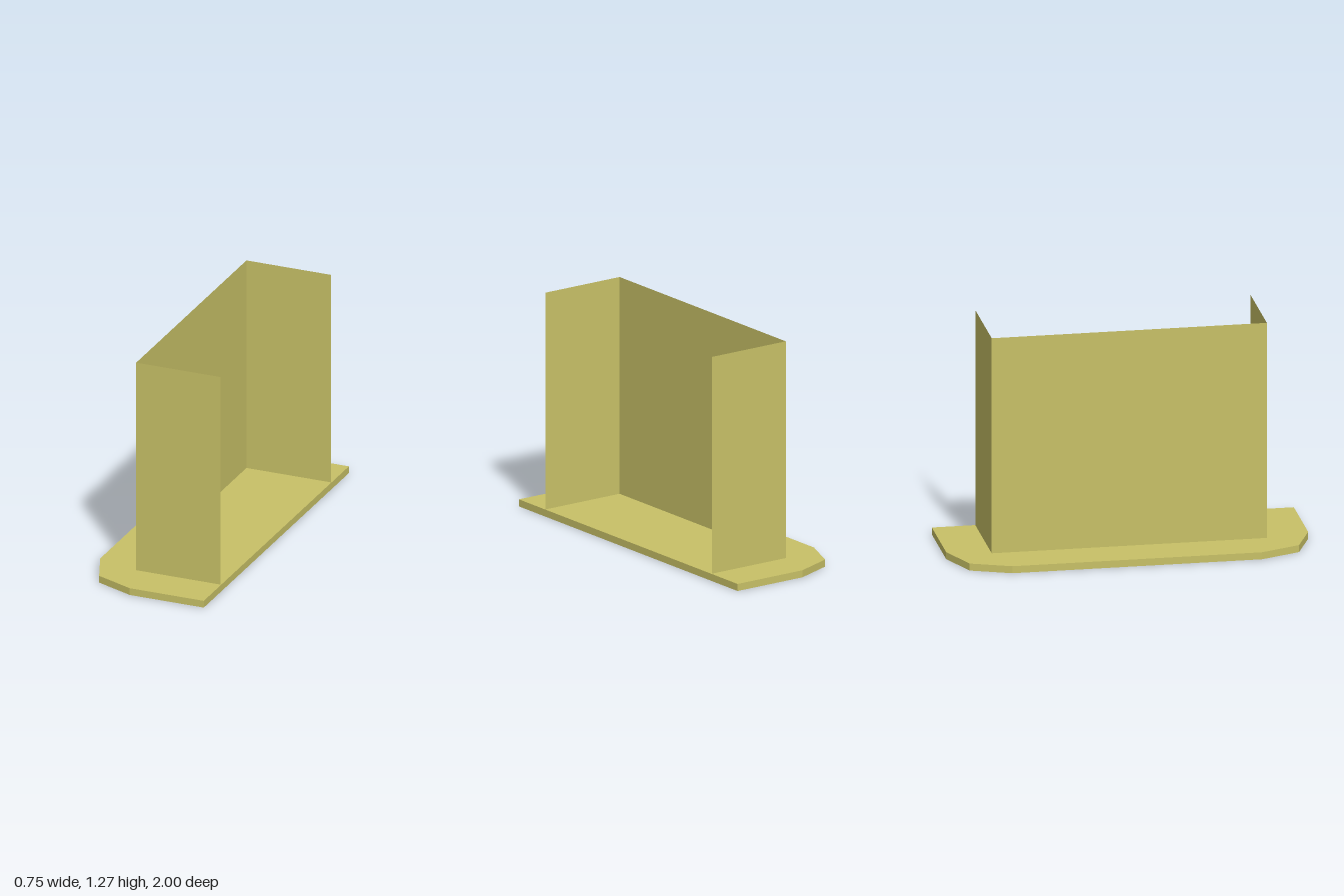
import * as THREE from 'three';

export function createModel() {
  const model = new THREE.Group();
  const mat = new THREE.MeshStandardMaterial({ color: 0xc8c167, side: THREE.DoubleSide });
  mat.name = 'khaki yellow';

  const baseH = 0.04, top = 1.27, wallX = -0.13, frontX = 0.37, wallZ = 0.76;
  const wallH = top - baseH, wallY = (top + baseH) / 2;

  const add = (name, geometry, x = 0, y = 0, z = 0) => {
    const mesh = new THREE.Mesh(geometry, mat);
    mesh.name = name;
    mesh.position.set(x, y, z);
    model.add(mesh);
    return mesh;
  };

  // Base slab: straight along +x, faceted corners along -x
  const half = [[0.373, 1], [-0.065, 1], [-0.285, 0.91], [-0.373, 0.69]];
  const outline = [...half, ...half.map(([x, z]) => [x, -z]).reverse()];
  const slab = new THREE.ExtrudeGeometry(
    new THREE.Shape(outline.map(([x, z]) => new THREE.Vector2(x, z))),
    { depth: baseH, bevelEnabled: false }
  );
  slab.rotateX(-Math.PI / 2);
  add('base', slab);

  // Long panel
  add('longWall', new THREE.PlaneGeometry(wallZ * 2, wallH), wallX, wallY, 0).rotation.y = Math.PI / 2;

  // Paper-thin end panels
  for (const [name, side] of [['frontEndWall', 1], ['backEndWall', -1]]) {
    const wall = add(name, new THREE.PlaneGeometry(frontX - wallX, wallH), (frontX + wallX) / 2, wallY, side * wallZ);
    if (side < 0) wall.rotation.y = Math.PI;
  }

  return model;
}
